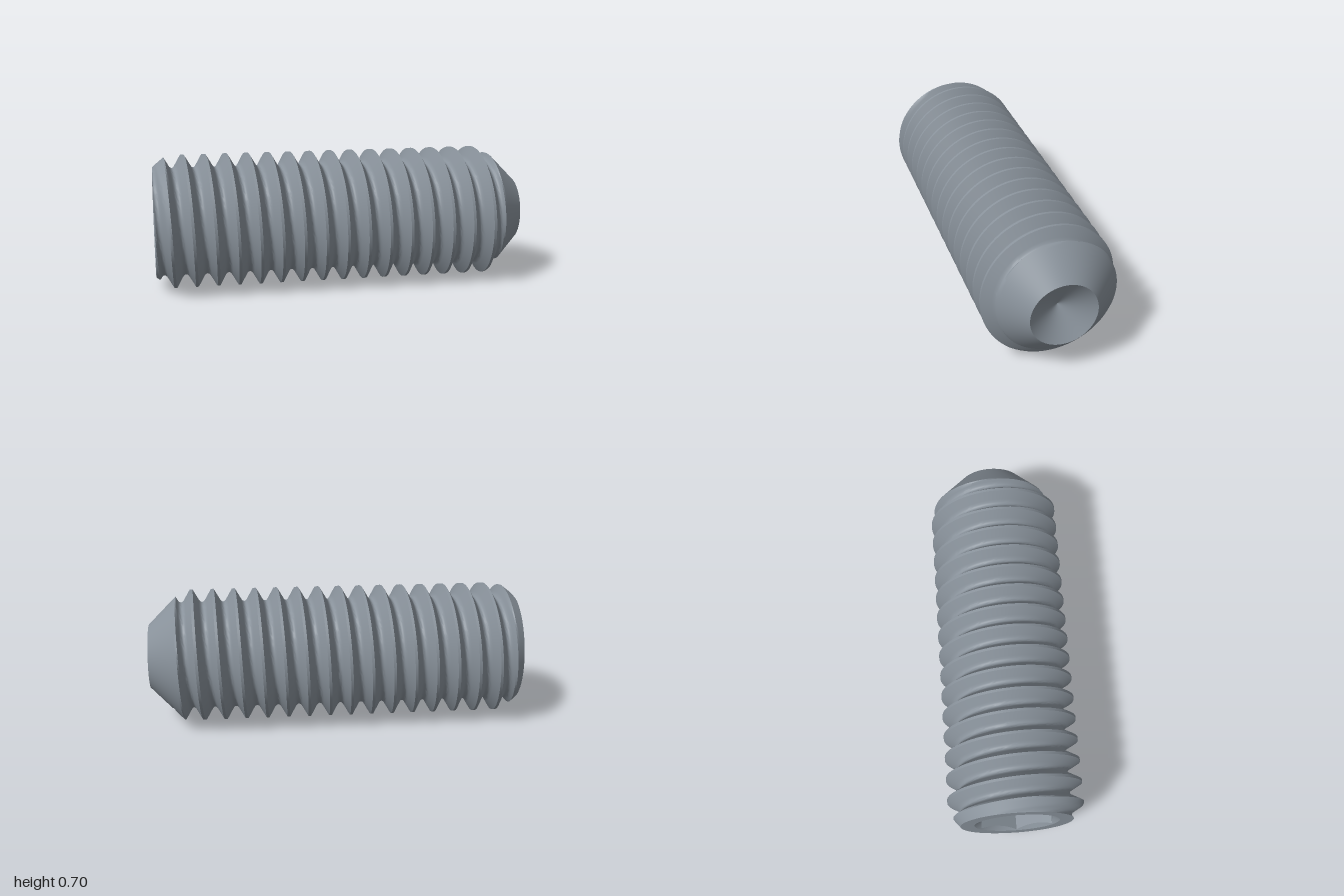
import * as THREE from 'three';
import { toCreasedNormals } from 'three/addons/utils/BufferGeometryUtils.js';

const SEG = 96;          // columns around the axis
const PITCH = 0.1115;
const STEPS = 16;        // rows per thread turn
const CREST = 0.348;     // outer thread radius
const S0 = -0.963, S1 = 0.987;   // socket end and point end along the axis
const END_R = 0.288, CUP_R = 0.169;
const HEX_FLAT = 0.182, RIM_R = 0.217;

// Right-handed thread radius, with chamfers limiting both ends
function threadRadius(s, phi) {
  let u = (s - 0.757) / PITCH - phi / (2 * Math.PI);
  u = Math.abs(u - Math.round(u));
  let depth = 0;
  if (u > 0.375) depth = 0.6134 - 0.0721 * ((0.5 - u) / 0.125) ** 2;
  else if (u > 0.0625) depth = 1.732 * (u - 0.0625);
  return Math.min(CREST - depth * PITCH, END_R + 0.8 * (s - S0), CUP_R + (S1 - s));
}

// Hexagon radius with a corner pointing up
const hexRadius = (phi) => HEX_FLAT / Math.cos((phi % (Math.PI / 3)) - Math.PI / 6);

// Skin a list of rings; each ring maps an angle to [position on axis, radius]
function loft(rings, crease) {
  const pos = [];
  const pts = rings.map((ring) => Array.from({ length: SEG + 1 }, (_, j) => {
    const phi = (j / SEG) * Math.PI * 2;
    const [s, r] = ring(phi);
    return new THREE.Vector3(s, r * Math.cos(phi), r * Math.sin(phi));
  }));
  const tri = (a, b, c) => {
    const area = b.clone().sub(a).cross(c.clone().sub(a)).length();
    if (area > 1e-9) for (const p of [a, b, c]) pos.push(p.x, p.y, p.z);
  };
  for (let i = 0; i < pts.length - 1; i++) {
    for (let j = 0; j < SEG; j++) {
      const a = pts[i][j], b = pts[i + 1][j], c = pts[i + 1][j + 1], d = pts[i][j + 1];
      tri(a, d, c);
      tri(a, c, b);
    }
  }
  const geo = new THREE.BufferGeometry();
  geo.setAttribute('position', new THREE.Float32BufferAttribute(pos, 3));
  return toCreasedNormals(geo, crease);
}

export function createModel() {
  const model = new THREE.Group();
  model.name = 'setScrew';
  const steel = new THREE.MeshStandardMaterial({ color: 0x89929b });
  steel.name = 'steel grey';

  const screw = new THREE.Group();
  screw.name = 'screw';
  const add = (name, rings, crease = 0.6) => {
    const mesh = new THREE.Mesh(loft(rings, crease), steel);
    mesh.name = name;
    screw.add(mesh);
  };

  // Threaded shank: rows follow the helix and are clamped at both ends
  const shank = [];
  const first = 0.757 - PITCH * 17;
  const rows = Math.ceil((S1 - first) / PITCH * STEPS) + 1;
  for (let i = 0; i <= rows; i++) {
    shank.push((phi) => {
      const raw = first + (i / STEPS + phi / (2 * Math.PI)) * PITCH;
      const s = Math.min(S1, Math.max(S0, raw));
      return [s, threadRadius(s, phi)];
    });
  }
  add('threadedShank', shank);

  // Hex socket with a drilled floor
  const floorS = S0 + 0.36;
  const rimS = (phi) => S0 + (RIM_R - hexRadius(phi)) * 0.58;
  add('hexSocket', [
    () => [floorS + 0.1, 0],
    () => [floorS, 0.175],
    (phi) => [floorS, hexRadius(phi)],
    (phi) => [rimS(phi), hexRadius(phi)],
  ], 0.4);

  // Countersink around the socket and flat end face
  add('socketRim', [
    (phi) => [rimS(phi), hexRadius(phi)],
    () => [S0, RIM_R],
    (phi) => [S0, threadRadius(S0, phi)],
  ], 0.3);

  // Conical hollow in the point
  add('cupPoint', [
    () => [S1, CUP_R],
    () => [S1 - 0.097, 0],
  ]);

  screw.rotation.y = -0.212;
  screw.position.y = CREST;
  model.add(screw);
  return model;
}
